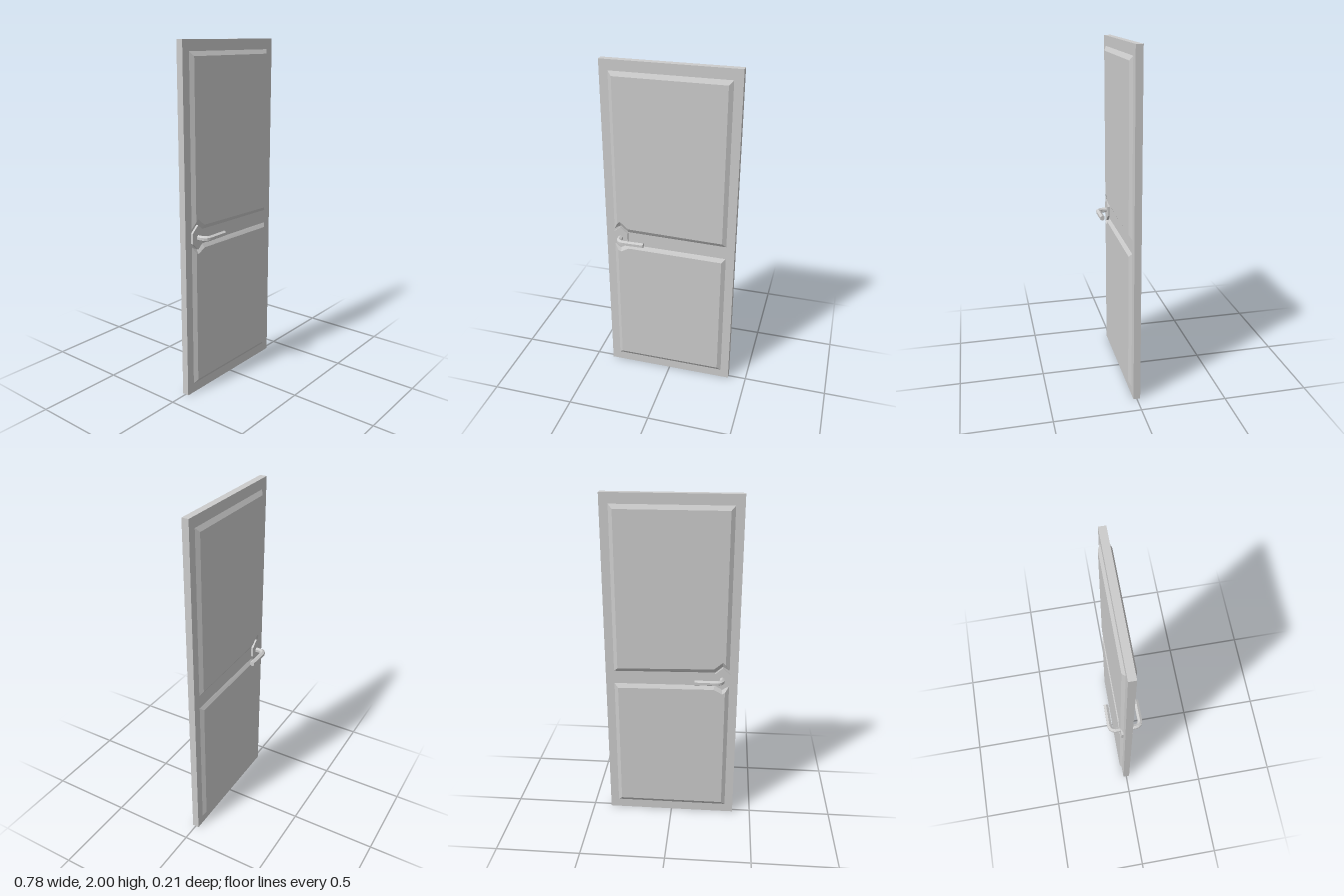
import * as THREE from 'three';

const material = new THREE.MeshStandardMaterial({ color: 0xcccccc, flatShading: true });
const FACE = 0.02; // half thickness of the slab

function addMesh(parent, geometry, name) {
  const mesh = new THREE.Mesh(geometry, material);
  mesh.name = name;
  parent.add(mesh);
}

// Mirror a front geometry to the back, keeping faces outward
function mirrorZ(geometry) {
  const g = geometry.index ? geometry.toNonIndexed() : geometry.clone();
  const p = g.attributes.position;
  for (let i = 0; i < p.count; i += 3) {
    const tri = [0, 2, 1].map(k => [p.getX(i + k), p.getY(i + k), -p.getZ(i + k)]);
    tri.forEach((v, k) => p.setXYZ(i + k, ...v));
  }
  g.computeVertexNormals();
  return g;
}

// Flat-topped panel with a sloped rim between two counter-clockwise outlines
function raisedPanel(outer, inner, height) {
  const n = outer.length;
  const positions = [
    ...outer.flatMap(([x, y]) => [x, y, FACE]),
    ...inner.flatMap(([x, y]) => [x, y, FACE + height]),
  ];
  const index = [];
  for (let i = 0; i < n; i++) {
    const j = (i + 1) % n;
    index.push(i, j, n + j, i, n + j, n + i);
  }
  const contour = inner.map(([x, y]) => new THREE.Vector2(x, y));
  for (const tri of THREE.ShapeUtils.triangulateShape(contour, [])) {
    index.push(...tri.map(k => n + k));
  }
  const g = new THREE.BufferGeometry();
  g.setAttribute('position', new THREE.Float32BufferAttribute(positions, 3));
  g.setIndex(index);
  const flat = g.toNonIndexed();
  flat.computeVertexNormals();
  return flat;
}

// Six-sided bar leaving the plate and bending along the door
function leverPath() {
  const v = (x, z) => new THREE.Vector3(x, 0.938, z);
  const path = new THREE.CurvePath();
  path.add(new THREE.LineCurve3(v(-0.299, FACE), v(-0.299, 0.055)));
  path.add(new THREE.QuadraticBezierCurve3(v(-0.299, 0.055), v(-0.299, 0.09), v(-0.262, 0.09)));
  path.add(new THREE.LineCurve3(v(-0.262, 0.09), v(-0.14, 0.089)));
  return path;
}

export function createModel() {
  const door = new THREE.Group();
  door.name = 'door';

  const slab = new THREE.BoxGeometry(0.78, 2, FACE * 2);
  slab.translate(0, 1, 0);
  addMesh(door, slab, 'slab');

  // Panels are notched around the handle plate
  const upper = raisedPanel(
    [[-0.34, 0.99], [-0.3, 1.015], [-0.255, 0.976], [0.34, 0.965], [0.34, 1.94], [-0.34, 1.94]],
    [[-0.317, 1.03], [-0.3, 1.045], [-0.25, 1.002], [0.317, 0.988], [0.317, 1.915], [-0.317, 1.915]],
    0.015);
  const lower = raisedPanel(
    [[-0.34, 0.055], [0.34, 0.055], [0.34, 0.885], [-0.255, 0.892], [-0.3, 0.866], [-0.34, 0.89]],
    [[-0.317, 0.078], [0.317, 0.078], [0.317, 0.861], [-0.25, 0.87], [-0.3, 0.843], [-0.317, 0.852]],
    0.015);

  // Elongated six-sided handle plate
  const outline = [[-0.345, 0.91], [-0.3, 0.87], [-0.255, 0.91], [-0.255, 0.97], [-0.3, 1.01], [-0.345, 0.97]];
  const plate = raisedPanel(outline, outline, 0.013);

  const lever = new THREE.TubeGeometry(leverPath(), 16, 0.0155, 6, false);
  const leverEnd = new THREE.CircleGeometry(0.0155, 6, Math.PI / 2);
  leverEnd.rotateY(Math.PI / 2);
  leverEnd.translate(-0.14, 0.938, 0.089);

  const parts = { upperPanel: upper, lowerPanel: lower, handlePlate: plate, lever, leverEnd };
  for (const side of ['front', 'back']) {
    const group = new THREE.Group();
    group.name = side + 'Face';
    for (const [name, g] of Object.entries(parts)) {
      addMesh(group, side === 'front' ? g : mirrorZ(g), name);
    }
    door.add(group);
  }
  return door;
}
